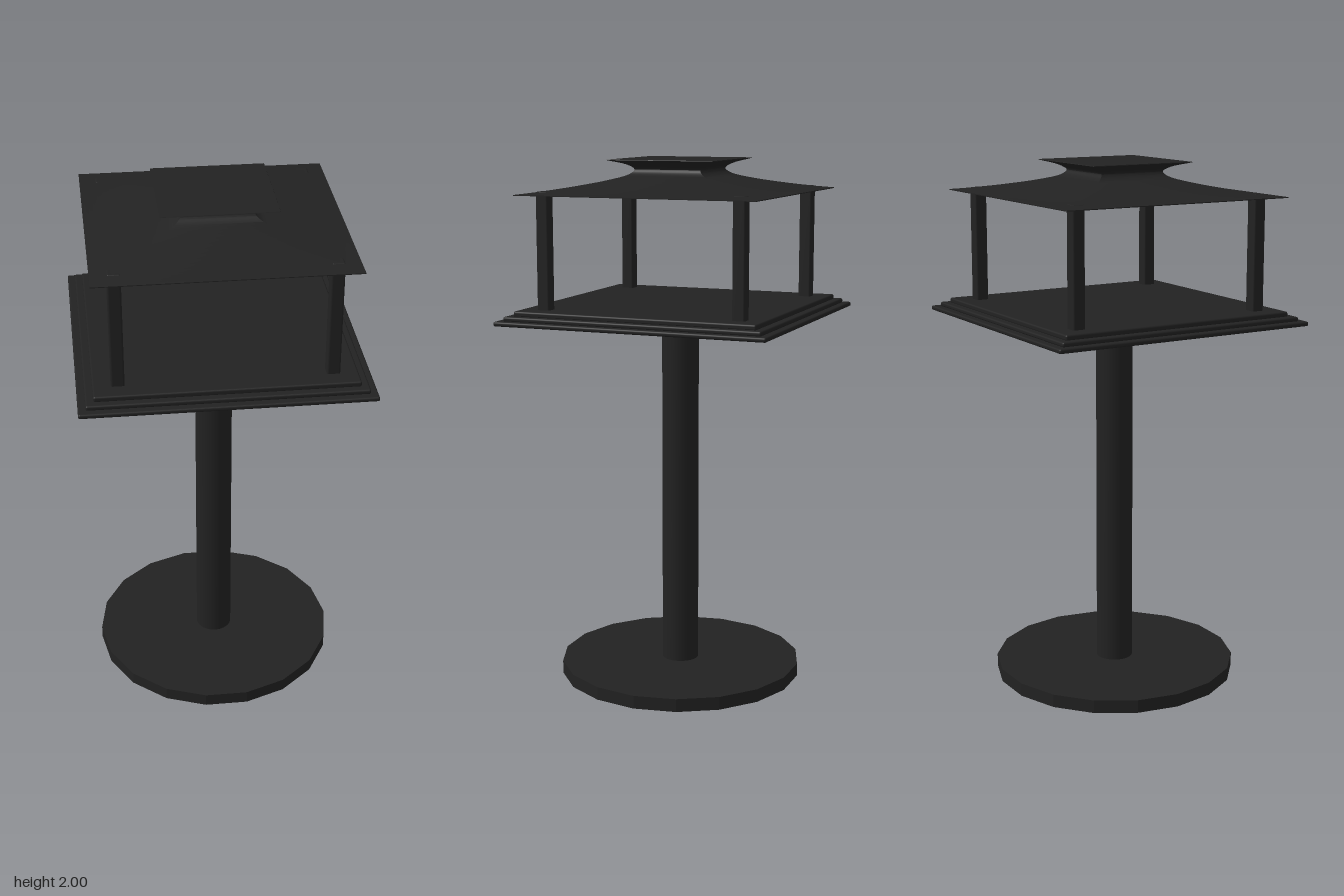
import * as THREE from 'three';
import { toCreasedNormals } from 'three/addons/utils/BufferGeometryUtils.js';
import { RoundedBoxGeometry } from 'three/addons/geometries/RoundedBoxGeometry.js';

export function createModel() {
  const model = new THREE.Group();
  model.name = 'pedestalLantern';
  const blackMetal = new THREE.MeshStandardMaterial({ color: 0x222222 });
  blackMetal.name = 'blackMetal';

  const add = (name, geometry, x = 0, y = 0, z = 0) => {
    const mesh = new THREE.Mesh(geometry, blackMetal);
    mesh.name = name;
    mesh.position.set(x, y, z);
    model.add(mesh);
    return mesh;
  };

  // Faceted disc foot, with corners on the x axis
  const foot = new THREE.CylinderGeometry(0.467, 0.467, 0.05, 18);
  foot.rotateY(Math.PI / 2);
  add('base', toCreasedNormals(foot, 0.2), 0, 0.025, 0);

  // Round post
  add('post', new THREE.CylinderGeometry(0.07, 0.07, 1.37, 32), 0, 0.735, 0);

  // Stepped square platform: half width, bottom, top
  const tiers = [[0.522, 1.41, 1.427], [0.495, 1.425, 1.443], [0.467, 1.44, 1.461]];
  tiers.forEach(([half, low, high], i) => {
    const slab = new RoundedBoxGeometry(half * 2, high - low, half * 2, 3, 0.007);
    add(`platformTier${i + 1}`, slab, 0, (low + high) / 2, 0);
  });

  // Four corner pillars
  for (const x of [-0.378, 0.378]) {
    for (const z of [-0.378, 0.378]) {
      add('cornerPillar', new RoundedBoxGeometry(0.048, 0.44, 0.048, 3, 0.007), x, 1.67, z);
    }
  }

  // Square roof sweeping in to a neck and flaring out to a flat cap
  const sweep = new THREE.CatmullRomCurve3([
    [0.46, 1.88], [0.4, 1.888], [0.3, 1.905], [0.2, 1.927],
    [0.145, 1.946], [0.13, 1.963], [0.15, 1.98], [0.208, 1.998],
  ].map(([x, y]) => new THREE.Vector3(x, y, 0)));
  const profile = [
    new THREE.Vector2(0, 1.877),
    new THREE.Vector2(0.46, 1.877),
    ...sweep.getPoints(28).map((p) => new THREE.Vector2(p.x, p.y)),
    new THREE.Vector2(0.207, 2),
    new THREE.Vector2(0, 2),
  ];
  profile.forEach((p) => { p.x *= Math.SQRT2; });
  const roof = new THREE.LatheGeometry(profile, 4, Math.PI / 4);
  add('roof', toCreasedNormals(roof, 0.5));

  return model;
}
